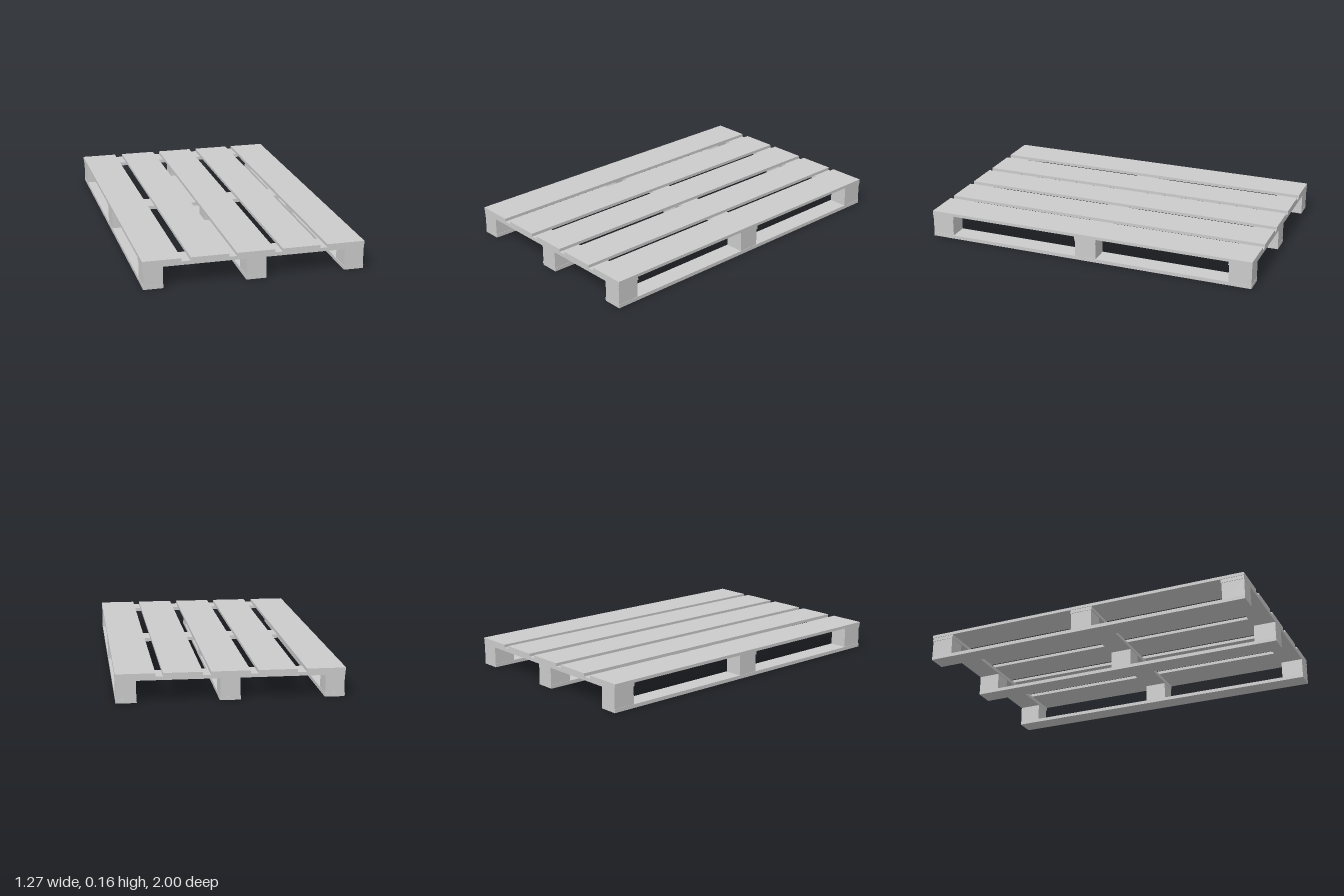
import * as THREE from 'three';

export function createModel() {
  const group = new THREE.Group();
  const material = new THREE.MeshStandardMaterial({ color: 0xcccccc, flatShading: true });

  // Box given by its limits on each axis
  const plank = (name, [x0, x1], [y0, y1], [z0, z1]) => {
    const mesh = new THREE.Mesh(new THREE.BoxGeometry(x1 - x0, y1 - y0, z1 - z0), material);
    mesh.position.set((x0 + x1) / 2, (y0 + y1) / 2, (z0 + z1) / 2);
    mesh.name = name;
    group.add(mesh);
  };

  const runners = [[-0.631, -0.519], [-0.053, 0.063], [0.516, 0.631]];
  const rows = [[-1, -0.862], [-0.067, 0.07], [0.862, 1]];
  const deck = [[-0.635, -0.417], [-0.367, -0.149], [-0.107, 0.111], [0.155, 0.373], [0.413, 0.632]];

  // Deck boards running the full length
  for (const x of deck) plank('deckBoard', x, [0.145, 0.163], [-1, 1]);

  // Cross boards under the deck
  for (const z of rows) plank('crossBoard', [-0.632, 0.631], [0.124, 0.145], z);

  // Bottom runners with three spacer blocks each
  for (const [x0, x1] of runners) {
    plank('bottomRunner', [x0, x1], [0, 0.021], [-1, 1]);
    for (const [z0, z1] of rows) {
      plank('spacerBlock', [x0 + 0.002, x1 - 0.002], [0.021, 0.124],
        [z0 + (z0 > -1 ? 0.004 : 0.001), z1 - (z1 < 1 ? 0.004 : 0.001)]);
    }
  }
  return group;
}
